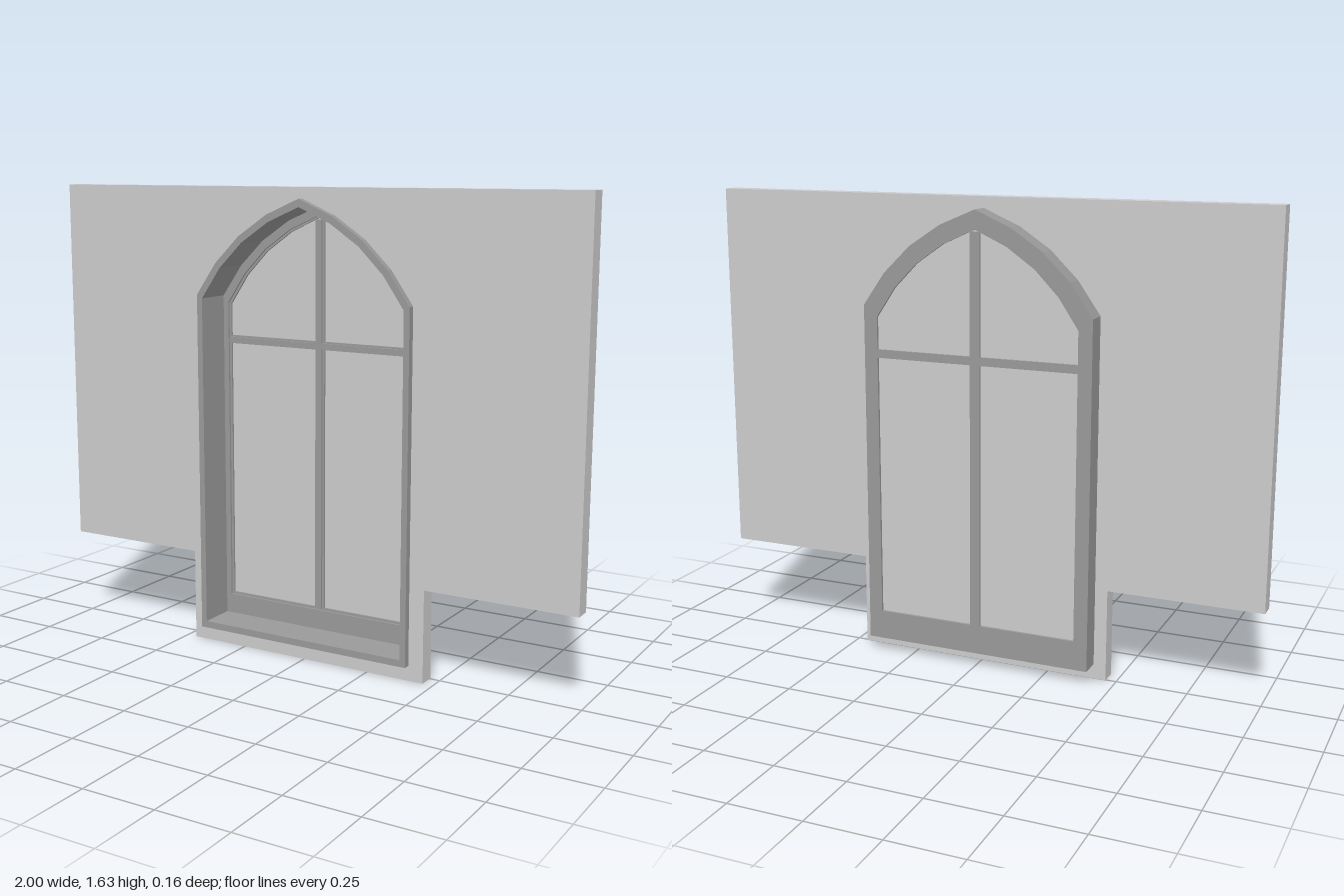
import * as THREE from 'three';

const CX = -0.005; // window axis

// Pointed-arch outline: straight jambs, two shallow arcs meeting at the apex
function archPoints(halfW, bottom, spring, apex, steps = 4) {
  const rise = apex - spring;
  const chord = Math.hypot(halfW, rise);
  const sag = chord * 0.095;
  const right = [];
  for (let i = 0; i <= steps; i++) {
    const t = i / steps;
    const b = 4 * sag * t * (1 - t);
    right.push([halfW * (1 - t) + (b * rise) / chord, spring + rise * t + (b * halfW) / chord]);
  }
  const left = right.slice(0, -1).reverse().map(([x, y]) => [-x, y]);
  return [[-halfW, bottom], [halfW, bottom], ...right, ...left]
    .map(([x, y]) => new THREE.Vector2(x + CX, y));
}

function extruded(name, outline, hole, z0, z1, material) {
  const shape = new THREE.Shape(outline);
  if (hole) shape.holes.push(new THREE.Path(hole));
  const geometry = new THREE.ExtrudeGeometry(shape, { depth: z1 - z0, bevelEnabled: false });
  geometry.translate(0, 0, z0);
  const mesh = new THREE.Mesh(geometry, material);
  mesh.name = name;
  return mesh;
}

function bar(name, w, h, d, x, y, z, material) {
  const mesh = new THREE.Mesh(new THREE.BoxGeometry(w, h, d), material);
  mesh.position.set(x, y, z);
  mesh.name = name;
  return mesh;
}

export function createModel() {
  const group = new THREE.Group();
  group.name = 'archedWindowInWall';
  const wallMat = new THREE.MeshStandardMaterial({ color: 0xcccccc });
  const frameMat = new THREE.MeshStandardMaterial({ color: 0x999999 });

  const outer = archPoints(0.414, 0.053, 1.262, 1.597);
  const lip = archPoints(0.393, 0.077, 1.25, 1.57);
  const sashHole = archPoints(0.373, 0.148, 1.226, 1.54);
  const paneHole = archPoints(0.365, 0.156, 1.222, 1.532);

  // Wall panel with a lower tab around the window
  const wallOutline = [
    [-0.463, 0], [0.463, 0], [0.463, 0.325], [1, 0.325],
    [1, 1.635], [-1, 1.635], [-1, 0.325], [-0.463, 0.325],
  ].map(([x, y]) => new THREE.Vector2(x, y));
  group.add(extruded('wall', wallOutline, outer, -0.005, 0.055, wallMat));

  // Deep casing, shallow sash at the back with a bead round the glass
  group.add(extruded('casing', outer, lip, -0.08, 0.08, frameMat));
  group.add(extruded('sash', lip, sashHole, -0.08, -0.053, frameMat));
  group.add(extruded('glazingBead', sashHole, paneHole, -0.08, -0.06, frameMat));
  group.add(extruded('glass', paneHole, null, -0.071, -0.067, wallMat));

  // Glazing bars: a wide base with a narrower moulding in front
  for (const [name, size, z0, z1] of [['Base', 0.036, -0.08, -0.06], ['Moulding', 0.022, -0.06, -0.053]]) {
    const d = z1 - z0;
    const z = (z0 + z1) / 2;
    group.add(bar('mullion' + name, size, 1.37, d, CX, 0.84, z, frameMat));
    group.add(bar('transom' + name, 0.74, size * 0.8, d, CX, 1.095, z, frameMat));
  }
  return group;
}
